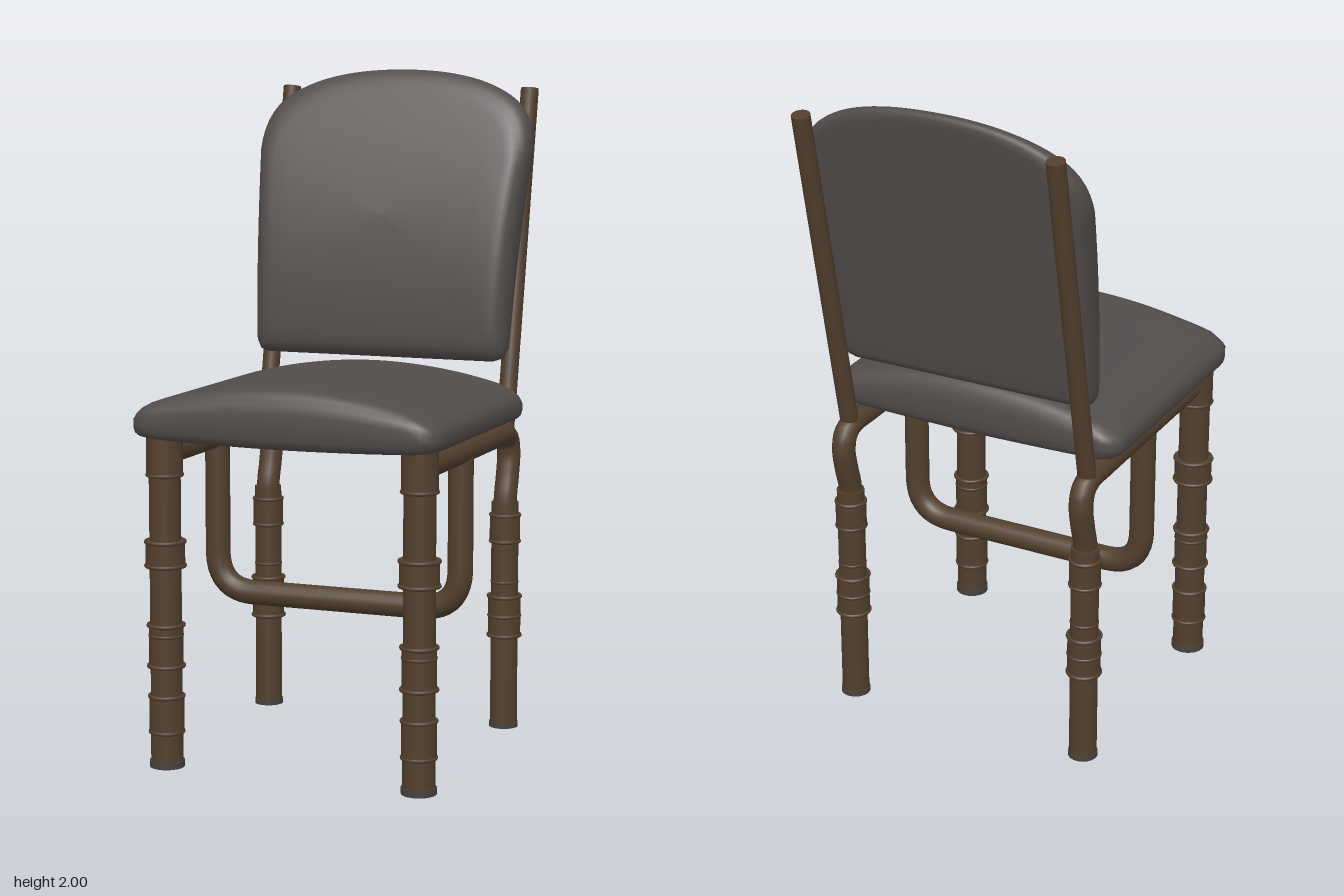
import * as THREE from 'three';

const frameMat = new THREE.MeshStandardMaterial({ color: 0x523f2d });
frameMat.name = 'brown frame';
const cushionMat = new THREE.MeshStandardMaterial({ color: 0x524d4b });
cushionMat.name = 'grey upholstery';
const footMat = new THREE.MeshStandardMaterial({ color: 0x45423f });
footMat.name = 'grey foot pad';

const V = (x, y, z) => new THREE.Vector3(x, y, z);

function add(parent, name, geometry, material) {
  const mesh = new THREE.Mesh(geometry, material);
  mesh.name = name;
  parent.add(mesh);
  return mesh;
}

// Closed half outline (right side, bottom to top) mirrored into a full counter-clockwise loop
function mirroredLoop(path, n) {
  const half = path.getSpacedPoints(n);
  const left = half.slice(1, -1).reverse().map((p) => new THREE.Vector2(-p.x, p.y));
  return half.concat(left);
}

// Rings of a cushion: [scale of outline, position through the thickness]
const RINGS = [[0, 0], [0.45, 0], [0.8, 0], [0.93, 0], [0.97, 0.05], [0.992, 0.17], [1, 0.35], [1, 0.6],
  [0.985, 0.76], [0.955, 0.9], [0.91, 0.975], [0.85, 1], [0.7, 1], [0.5, 1], [0.25, 1], [0, 1]];

// Soft cushion: concentric rings of an outline, placed in space by a rule
function cushion(loop, cx, cy, place) {
  const n = loop.length, pos = [], idx = [];
  for (const [s, t] of RINGS) {
    for (const p of loop) pos.push(...place(cx + (p.x - cx) * s, cy + (p.y - cy) * s, t));
  }
  for (let r = 0; r < RINGS.length - 1; r++) {
    for (let i = 0; i < n; i++) {
      const j = (i + 1) % n, a = r * n + i, b = r * n + j;
      if (r > 0) idx.push(a, b, b + n);
      else idx.push(a, b + n, a + n);
      if (r > 0 && r < RINGS.length - 2) idx.push(a, b + n, a + n);
    }
  }
  const g = new THREE.BufferGeometry();
  g.setAttribute('position', new THREE.Float32BufferAttribute(pos, 3));
  g.setIndex(idx);
  g.computeVertexNormals();
  return g;
}

// Upright leg stacked from plain sections [y0, y1, radius] and raised rings [y, radius]
function leg(name, x, z, sections, rings, foot) {
  const group = new THREE.Group();
  group.name = name;
  group.position.set(x, 0, z);
  for (const [y0, y1, r] of sections) {
    add(group, 'legSection', new THREE.CylinderGeometry(r, r, y1 - y0, 24), frameMat).position.y = (y0 + y1) / 2;
  }
  for (const [y, r] of rings) {
    const ring = add(group, 'legRing', new THREE.TorusGeometry(r, 0.006, 8, 24), frameMat);
    ring.rotation.x = Math.PI / 2;
    ring.position.y = y;
  }
  const [f0, f1, fr] = foot;
  add(group, 'footPad', new THREE.CylinderGeometry(fr, fr, f1 - f0, 24), footMat).position.y = (f0 + f1) / 2;
  return group;
}

export function createModel() {
  const model = new THREE.Group();
  model.name = 'chair';

  // Seat cushion: rounded rectangle with a top arched from side to side
  const seatPath = new THREE.Path();
  seatPath.moveTo(0, -0.285);
  seatPath.lineTo(0.4, -0.28);
  seatPath.quadraticCurveTo(0.462, -0.28, 0.468, -0.22);
  seatPath.lineTo(0.468, 0.46);
  seatPath.quadraticCurveTo(0.465, 0.53, 0.41, 0.53);
  seatPath.lineTo(0, 0.533);
  const seat = cushion(mirroredLoop(seatPath, 48), 0, 0.125, (x, d, t) => {
    const k = (x / 0.468) ** 2;
    const bottom = 0.962 + 0.012 * k, top = 1.132 - 0.075 * k;
    return [x, bottom + (top - bottom) * t, d];
  });
  // The outline lies in the ground plane, so its winding is turned over
  const si = seat.index.array;
  for (let i = 0; i < si.length; i += 3) [si[i], si[i + 1]] = [si[i + 1], si[i]];
  seat.computeVertexNormals();
  add(model, 'seatCushion', seat, cushionMat);

  // Back cushion: arched outline, flat leaning back, curved front
  const backPath = new THREE.Path();
  backPath.moveTo(0, 1.14);
  backPath.lineTo(0.365, 1.14);
  backPath.quadraticCurveTo(0.398, 1.14, 0.402, 1.18);
  backPath.quadraticCurveTo(0.41, 1.5, 0.435, 1.76);
  backPath.quadraticCurveTo(0.435, 1.87, 0.36, 1.92);
  backPath.quadraticCurveTo(0.24, 2.0, 0, 2.0);
  const back = cushion(mirroredLoop(backPath, 56), 0, 1.57, (x, y, t) => {
    const rear = -0.315 - 0.205 * (y - 1.14);
    const front = -0.215 - 0.22 * (Math.max(0, y - 1.2) / 0.8) ** 2;
    return [x, y, rear + (front - rear) * t];
  });
  add(model, 'backCushion', back, cushionMat);

  for (const [side, x] of [['left', 0.39], ['right', -0.39]]) {
    // Front leg
    model.add(leg(side + 'FrontLeg', x, 0.44,
      [[0.02, 0.1, 0.047], [0.1, 0.21, 0.051], [0.21, 0.3, 0.046], [0.3, 0.42, 0.05], [0.42, 0.59, 0.046],
        [0.59, 0.67, 0.057], [0.67, 0.86, 0.046], [0.86, 0.975, 0.053]],
      [[0.105, 0.048], [0.21, 0.049], [0.3, 0.051], [0.39, 0.046], [0.42, 0.051], [0.595, 0.056], [0.665, 0.056], [0.86, 0.05]],
      [0, 0.02, 0.051]));

    // Rear leg
    model.add(leg(side + 'RearLeg', x, -0.305,
      [[0.03, 0.3, 0.041], [0.3, 0.42, 0.049], [0.42, 0.59, 0.041], [0.59, 0.67, 0.046], [0.67, 0.71, 0.041]],
      [[0.3, 0.048], [0.36, 0.046], [0.42, 0.048], [0.465, 0.037], [0.59, 0.043], [0.67, 0.043]],
      [0.015, 0.03, 0.044]));

    // Side rail that bends down into the rear leg
    const rail = new THREE.CatmullRomCurve3([V(x, 0.922, 0.44), V(x, 0.922, 0.1), V(x, 0.922, -0.2), V(x, 0.92, -0.28),
      V(x, 0.9, -0.322), V(x, 0.855, -0.336), V(x, 0.79, -0.325), V(x, 0.72, -0.306), V(x, 0.66, -0.305)]);
    add(model, side + 'SideRail', new THREE.TubeGeometry(rail, 60, 0.035, 16), frameMat);

    // Leaning back post
    const foot = V(x, 0.92, -0.297), tip = V(x, 1.945, -0.508);
    const dir = tip.clone().sub(foot);
    const post = add(model, side + 'BackPost', new THREE.CylinderGeometry(0.027, 0.027, dir.length(), 20), frameMat);
    post.position.copy(foot).add(tip).multiplyScalar(0.5);
    post.quaternion.setFromUnitVectors(V(0, 1, 0), dir.normalize());
  }

  // U-shaped stretcher hanging from the side rails
  const bar = new THREE.CurvePath();
  const z = 0.085, w = 0.385, low = 0.455, r = 0.12;
  bar.add(new THREE.LineCurve3(V(-w, 0.92, z), V(-w, low + r, z)));
  bar.add(new THREE.QuadraticBezierCurve3(V(-w, low + r, z), V(-w, low, z), V(-w + r, low, z)));
  bar.add(new THREE.LineCurve3(V(-w + r, low, z), V(w - r, low, z)));
  bar.add(new THREE.QuadraticBezierCurve3(V(w - r, low, z), V(w, low, z), V(w, low + r, z)));
  bar.add(new THREE.LineCurve3(V(w, low + r, z), V(w, 0.92, z)));
  add(model, 'stretcher', new THREE.TubeGeometry(bar, 90, 0.037, 16), frameMat);

  return model;
}
